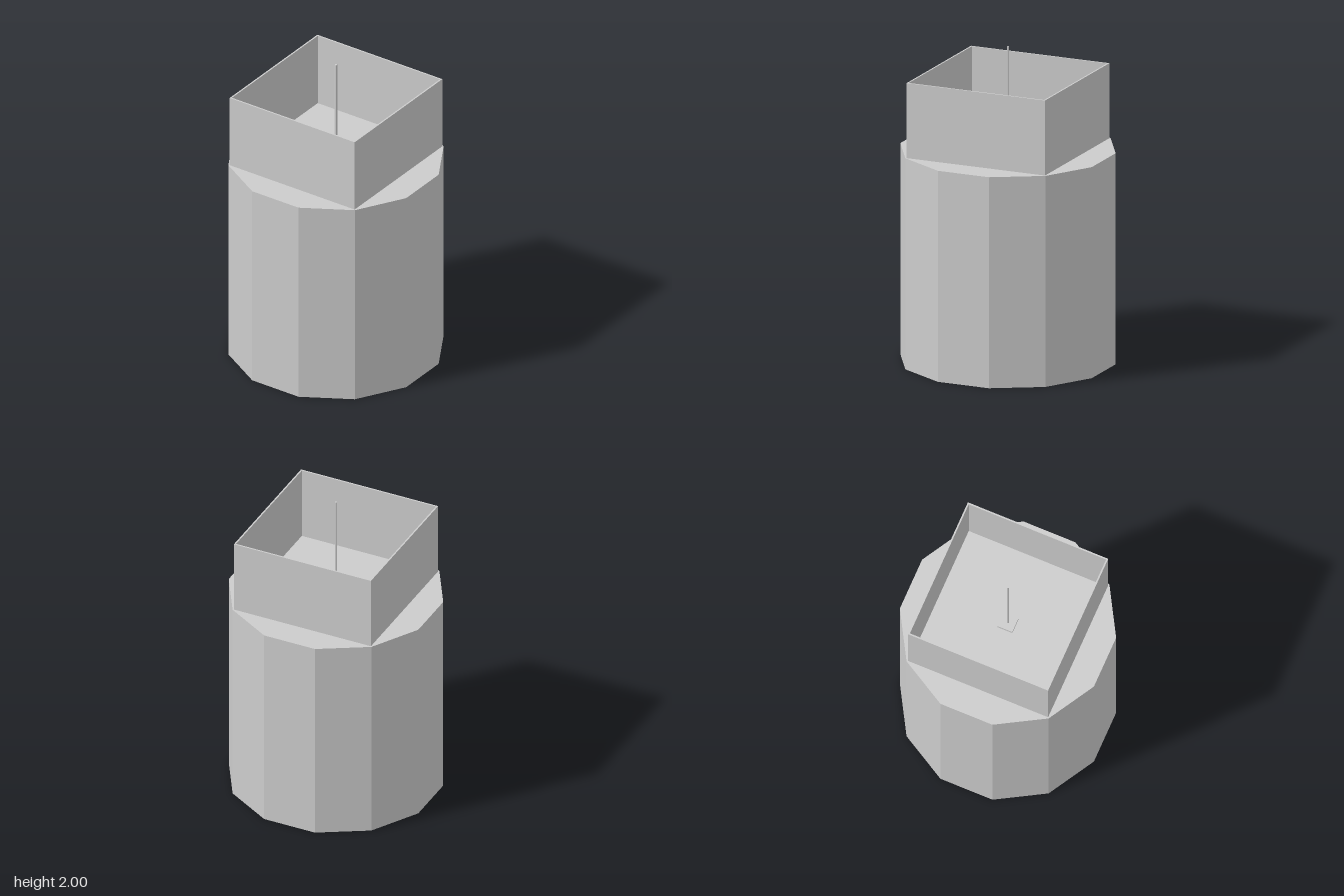
import * as THREE from 'three';

export function createModel() {
  const model = new THREE.Group();
  const grey = new THREE.MeshStandardMaterial({ color: 0xcccccc, flatShading: true });
  grey.name = 'lightGrey';

  const add = (name, geometry, y) => {
    const mesh = new THREE.Mesh(geometry, grey);
    mesh.name = name;
    mesh.position.y = y;
    model.add(mesh);
    return mesh;
  };

  // Upright square tube, open at both ends, standing on its local y = 0
  const squareTube = (half, wall, height) => {
    const square = (Type, h) => new Type([[-h, -h], [h, -h], [h, h], [-h, h]].map(([x, y]) => new THREE.Vector2(x, y)));
    const shape = square(THREE.Shape, half);
    shape.holes.push(square(THREE.Path, half - wall));
    return new THREE.ExtrudeGeometry(shape, { depth: height, bevelEnabled: false }).rotateX(-Math.PI / 2);
  };

  const bodyHeight = 1.35;

  // Twelve-sided body with flat faces toward the four axes
  const body = new THREE.CylinderGeometry(0.673, 0.673, bodyHeight, 12).rotateY(Math.PI / 12);
  add('body', body, bodyHeight / 2);

  // Thin-walled open box on top
  add('openBox', squareTube(0.47, 0.01, 0.48), bodyHeight);

  // Low square foot and the thin rod rising from it
  add('rodFoot', new THREE.BoxGeometry(0.1, 0.02, 0.1), bodyHeight + 0.01);
  add('rod', new THREE.CylinderGeometry(0.008, 0.008, 0.65, 8), bodyHeight + 0.325);

  return model;
}
